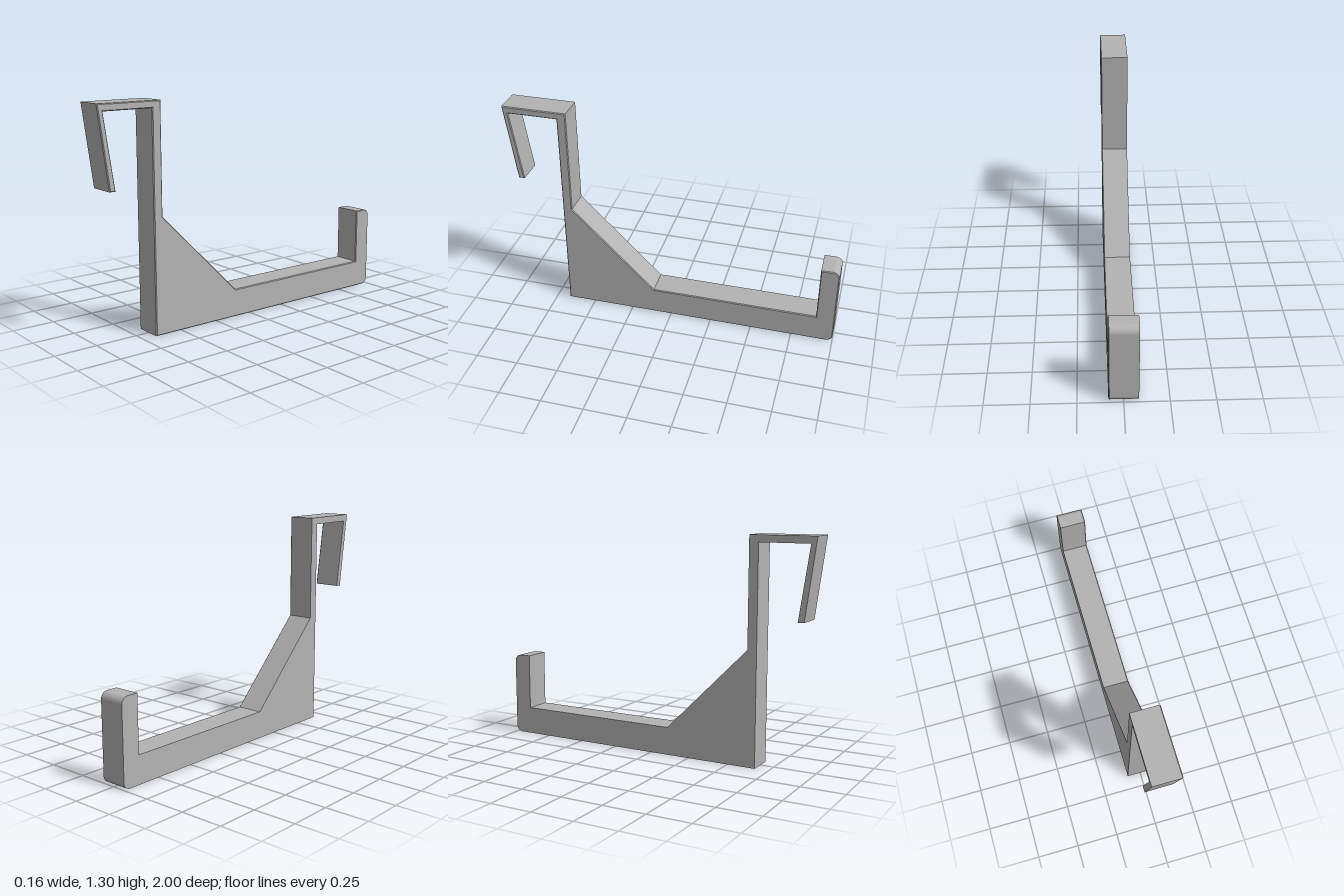
import * as THREE from 'three';
import { toCreasedNormals } from 'three/addons/utils/BufferGeometryUtils.js';

const HALF = 0.082;     // half of the strip width
const CHAMFER = 0.005;  // fine chamfer on the left (+x) side edges

// Side outline of the bracket; shape x runs towards the back (-z)
function bracketProfile() {
  const s = new THREE.Shape();
  s.moveTo(-0.668, 0);
  s.lineTo(0.96, 0);
  s.absarc(0.96, 0.04, 0.04, -Math.PI / 2, 0, false);      // rounded lower back corner
  s.lineTo(1, 0.463);
  s.absarc(0.96, 0.463, 0.04, 0, Math.PI / 2, false);      // rounded tip
  s.lineTo(0.891, 0.503);
  s.lineTo(0.891, 0.166);   // top of the arm
  s.lineTo(-0.11, 0.166);
  s.lineTo(-0.613, 0.67);   // gusset slope
  s.lineTo(-0.613, 1.303);  // upright
  s.lineTo(-1, 1.303);      // clip top
  s.lineTo(-0.937, 0.842);  // slanted clip tongue
  s.lineTo(-0.901, 0.842);
  s.lineTo(-0.964, 1.262);
  s.lineTo(-0.668, 1.262);
  s.closePath();
  return s;
}

// Extrudes the profile across x from x0 to x1
function strip(name, x0, x1, chamfer, material) {
  let geo = new THREE.ExtrudeGeometry(bracketProfile(), {
    depth: x1 - x0 - 2 * chamfer,
    curveSegments: 8,
    bevelEnabled: chamfer > 0,
    bevelThickness: chamfer,
    bevelSize: chamfer,
    bevelOffset: -chamfer,
    bevelSegments: 1,
  });
  geo.translate(0, 0, x0 + chamfer);
  geo.rotateY(Math.PI / 2);
  geo = toCreasedNormals(geo, Math.PI / 6);
  const mesh = new THREE.Mesh(geo, material);
  mesh.name = name;
  return mesh;
}

export function createModel() {
  const group = new THREE.Group();
  group.name = 'overDoorHook';
  const grey = new THREE.MeshStandardMaterial({ color: 0xb3b3b3 });
  grey.name = 'plain grey';

  // Square-edged half, and a chamfered half whose inner end is buried in it
  group.add(strip('hookSquareSide', -HALF, 0, 0, grey));
  group.add(strip('hookChamferedSide', -CHAMFER, HALF, CHAMFER, grey));
  return group;
}
